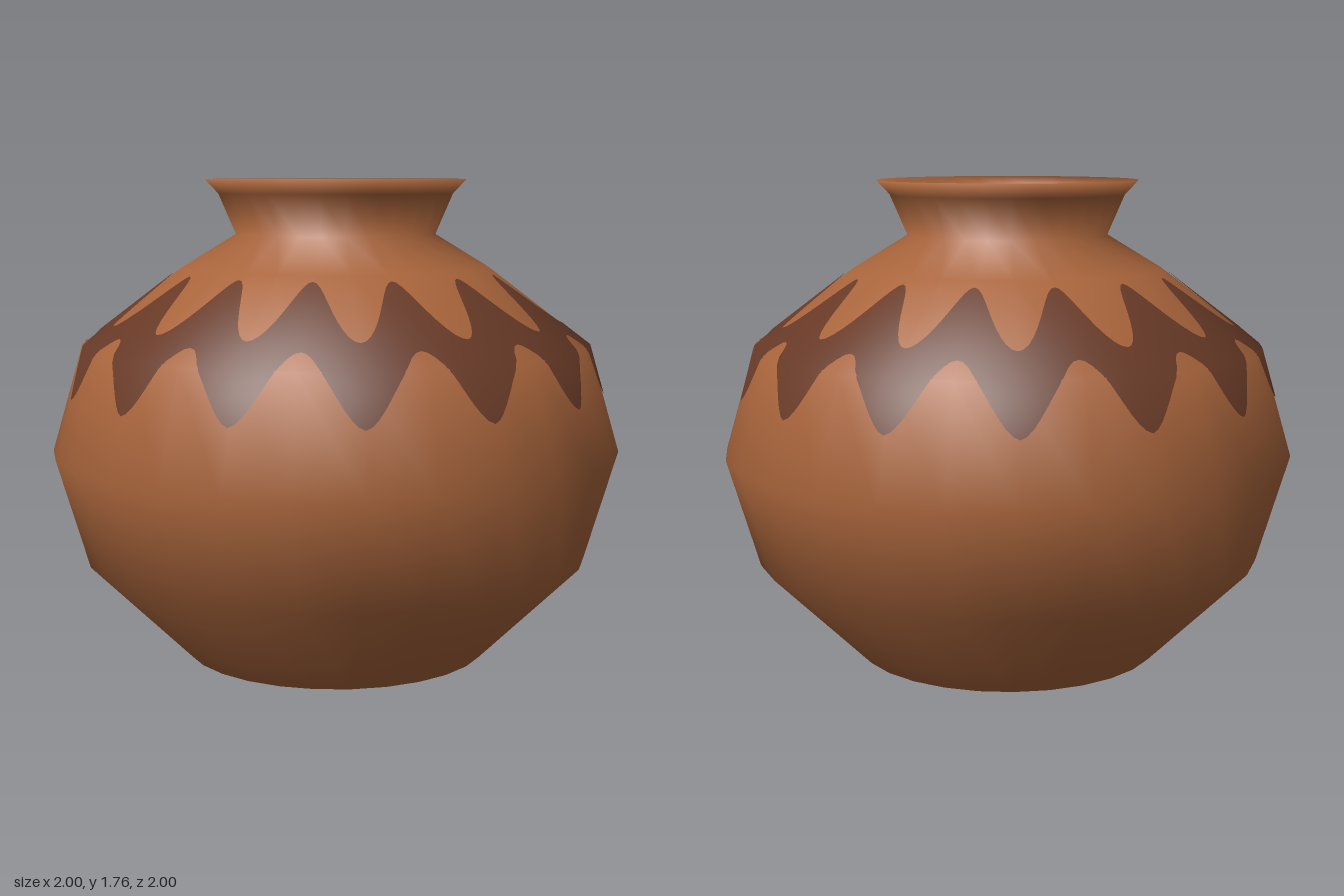
import * as THREE from 'three';

const SIDES = 28;
const clay = new THREE.MeshStandardMaterial({ color: 0xa8643b });
clay.name = 'terracotta';
const paint = new THREE.MeshStandardMaterial({ color: 0x683a27 });
paint.name = 'dark brown paint';

// Outer wall from the foot to the rim, then down the inside of the mouth
const PROFILE = [
  [0.27, 0], [0.54, 0.085], [0.89, 0.435], [1, 0.815], [0.89, 1.19], [0.54, 1.455],
  [0.35, 1.57], [0.41, 1.71], [0.457, 1.76], [0.38, 1.735], [0.295, 1.575],
].map(([r, y]) => new THREE.Vector2(r, y));

const addMesh = (group, name, geometry, material) => {
  const mesh = new THREE.Mesh(geometry, material);
  mesh.name = name;
  group.add(mesh);
  return mesh;
};

// Smooth normal of the profile at one of its points
const profileNormal = (i) => {
  const d = PROFILE[i + 1].clone().sub(PROFILE[i - 1]);
  return new THREE.Vector2(d.y, -d.x).normalize();
};

// Radius and normal of the outer wall at height y, on the shoulder
const wallAt = (y) => {
  const i = y < 1.19 ? 3 : 4;
  const t = (y - PROFILE[i].y) / (PROFILE[i + 1].y - PROFILE[i].y);
  return {
    r: THREE.MathUtils.lerp(PROFILE[i].x, PROFILE[i + 1].x, t),
    n: profileNormal(i).lerp(profileNormal(i + 1), t),
  };
};

// Zigzag band of 14 teeth, lying just above the faceted wall
function bandGeometry() {
  const perSide = 10, columns = SIDES * perSide, rows = 8;
  const lift = 0.004, step = (2 * Math.PI) / SIDES;
  const positions = [], normals = [], index = [];
  for (let c = 0; c <= columns; c++) {
    const side = Math.floor(c / perSide), f = (c % perSide) / perSide;
    const a0 = side * step, a1 = a0 + step;
    // direction along the flat side, so the band follows each facet
    const dx = THREE.MathUtils.lerp(Math.sin(a0), Math.sin(a1), f);
    const dz = THREE.MathUtils.lerp(Math.cos(a0), Math.cos(a1), f);
    const wave = (1 + Math.cos((c / columns) * 28 * Math.PI)) / 2;
    const low = 1.02 + 0.22 * Math.pow(wave, 0.85);
    const high = 1.265 + 0.17 * wave;
    const fold = Math.max(1.19, low);
    for (let k = 0; k <= rows; k++) {
      const t = (k / rows) * 2;
      const y = t <= 1 ? THREE.MathUtils.lerp(low, fold, t) : THREE.MathUtils.lerp(fold, high, t - 1);
      const { r, n } = wallAt(y);
      positions.push(dx * (r + lift * n.x), y + lift * n.y, dz * (r + lift * n.x));
      const normal = new THREE.Vector3(dx * n.x, n.y, dz * n.x).normalize();
      normals.push(normal.x, normal.y, normal.z);
      if (c < columns && k < rows) {
        const a = c * (rows + 1) + k, b = a + rows + 1;
        index.push(a, b, b + 1, a, b + 1, a + 1);
      }
    }
  }
  const geometry = new THREE.BufferGeometry();
  geometry.setAttribute('position', new THREE.Float32BufferAttribute(positions, 3));
  geometry.setAttribute('normal', new THREE.Float32BufferAttribute(normals, 3));
  geometry.setIndex(index);
  return geometry;
}

export function createModel() {
  const pot = new THREE.Group();
  pot.name = 'pot';

  addMesh(pot, 'potWall', new THREE.LatheGeometry(PROFILE, SIDES), clay);
  addMesh(pot, 'zigzagBand', bandGeometry(), paint);

  // Flat base and the flat floor inside the mouth
  const base = addMesh(pot, 'base', new THREE.CircleGeometry(0.27, SIDES), clay);
  base.rotation.x = Math.PI / 2;
  const floor = addMesh(pot, 'mouthFloor', new THREE.CircleGeometry(0.295, SIDES), clay);
  floor.rotation.x = -Math.PI / 2;
  floor.position.y = 1.575;

  return pot;
}
